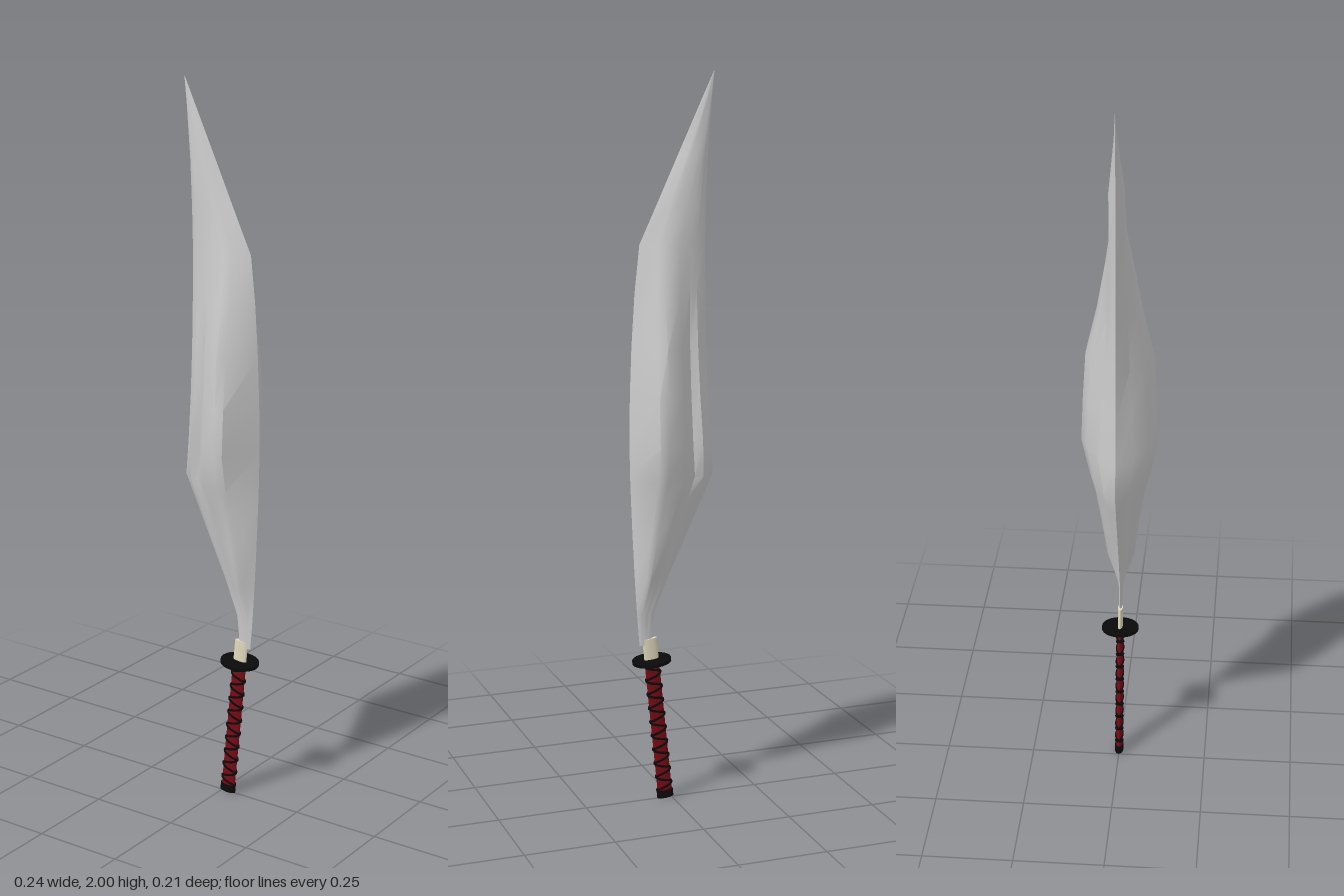
import * as THREE from 'three';
import { toCreasedNormals } from 'three/addons/utils/BufferGeometryUtils.js';

const mat = (color) => new THREE.MeshStandardMaterial({ color });

function add(parent, name, geometry, material) {
  const mesh = new THREE.Mesh(geometry, material);
  mesh.name = name;
  parent.add(mesh);
  return mesh;
}

// Blade cross-sections: y, cutting edge x, spine x, then half thickness
// at the bevel, hollow, cheek, ridge and shoulder.
const SECTIONS = [
  [0.45, 0.058, 0.093, 0.004, 0.004, 0.004, 0.004, 0.004],
  [0.54, 0.05, 0.1, 0.004, 0.004, 0.005, 0.006, 0.005],
  [0.64, 0.01, 0.106, 0.01, 0.014, 0.027, 0.037, 0.032],
  [0.76, -0.046, 0.112, 0.018, 0.022, 0.042, 0.053, 0.047],
  [0.86, -0.092, 0.116, 0.026, 0.028, 0.055, 0.068, 0.062],
  [0.92, -0.12, 0.118, 0.035, 0.032, 0.066, 0.083, 0.078],
  [1.02, -0.112, 0.12, 0.049, 0.035, 0.083, 0.105, 0.1],
  [1.15, -0.104, 0.118, 0.042, 0.034, 0.08, 0.1, 0.094],
  [1.28, -0.099, 0.113, 0.034, 0.03, 0.072, 0.092, 0.08],
  [1.42, -0.096, 0.104, 0.026, 0.026, 0.05, 0.06, 0.048],
  [1.55, -0.095, 0.09, 0.022, 0.022, 0.034, 0.037, 0.026],
  [1.65, -0.097, 0.043, 0.02, 0.02, 0.021, 0.021, 0.017],
  [1.78, -0.102, -0.017, 0.016, 0.02, 0.02, 0.019, 0.015],
  [1.93, -0.113, -0.087, 0.003, 0.004, 0.004, 0.004, 0.003],
  [2.0, -0.12, -0.1195, 0.0002, 0.0002, 0.0002, 0.0002, 0.0002],
];
const ACROSS = [0.17, 0.27, 0.44, 0.67, 0.77];

function bladeGeometry() {
  const positions = [], index = [];
  const n = ACROSS.length * 2 + 2;
  for (const [y, left, right, ...half] of SECTIONS) {
    const at = (i) => left + (right - left) * ACROSS[i];
    positions.push(left, y, 0);
    for (let i = 0; i < ACROSS.length; i++) positions.push(at(i), y, half[i]);
    positions.push(right, y, 0);
    for (let i = ACROSS.length - 1; i >= 0; i--) positions.push(at(i), y, -half[i]);
  }
  for (let r = 0; r < SECTIONS.length - 1; r++) {
    for (let i = 0; i < n; i++) {
      const a = r * n + i, b = r * n + ((i + 1) % n);
      index.push(a, b, b + n, a, b + n, a + n);
    }
  }
  // Close both ends
  const top = (SECTIONS.length - 1) * n;
  for (let i = 1; i < n - 1; i++) {
    index.push(0, i + 1, i, top, top + i, top + i + 1);
  }
  const g = new THREE.BufferGeometry();
  g.setAttribute('position', new THREE.Float32BufferAttribute(positions, 3));
  g.setIndex(index);
  return toCreasedNormals(g, 0.8);
}

// Oval cylinder centred at height y
function oval(rx, rz, height, y, sides = 20) {
  return new THREE.CylinderGeometry(1, 1, height, sides).scale(rx, 1, rz).translate(0, y, 0);
}

export function createModel() {
  const group = new THREE.Group();
  group.name = 'sword';
  const steel = mat(0xcccccc), black = mat(0x0a0a0a), red = mat(0x7a0a14), cream = mat(0xe0d8bc);

  add(group, 'blade', bladeGeometry(), steel);

  // Leaning hilt, with its origin at the guard
  const hilt = new THREE.Group();
  hilt.name = 'hilt';
  hilt.position.set(0.058, 0.405, 0);
  hilt.rotation.z = -0.0985;
  group.add(hilt);

  add(hilt, 'collar', oval(0.021, 0.007, 0.06, 0.034), cream);
  add(hilt, 'guard', oval(0.054, 0.052, 0.009, 0, 32), black);
  add(hilt, 'guardCollar', oval(0.024, 0.013, 0.016, -0.01), black);
  add(hilt, 'grip', oval(0.021, 0.009, 0.38, -0.2), red);
  add(hilt, 'pommel', oval(0.024, 0.012, 0.022, -0.393), black);

  // Two cords crossing along the narrow sides of the grip
  for (const dir of [1, -1]) {
    const points = [];
    const turns = 9, steps = 16;
    for (let i = 0; i <= turns * steps; i++) {
      const a = (dir * i * Math.PI * 2) / steps;
      points.push(new THREE.Vector3(
        0.0215 * Math.cos(a), -0.015 - 0.367 * (i / (turns * steps)), 0.009 * Math.sin(a)));
    }
    const path = new THREE.CatmullRomCurve3(points);
    add(hilt, dir > 0 ? 'gripCordA' : 'gripCordB', new THREE.TubeGeometry(path, 288, 0.0035, 6), black);
  }
  return group;
}
